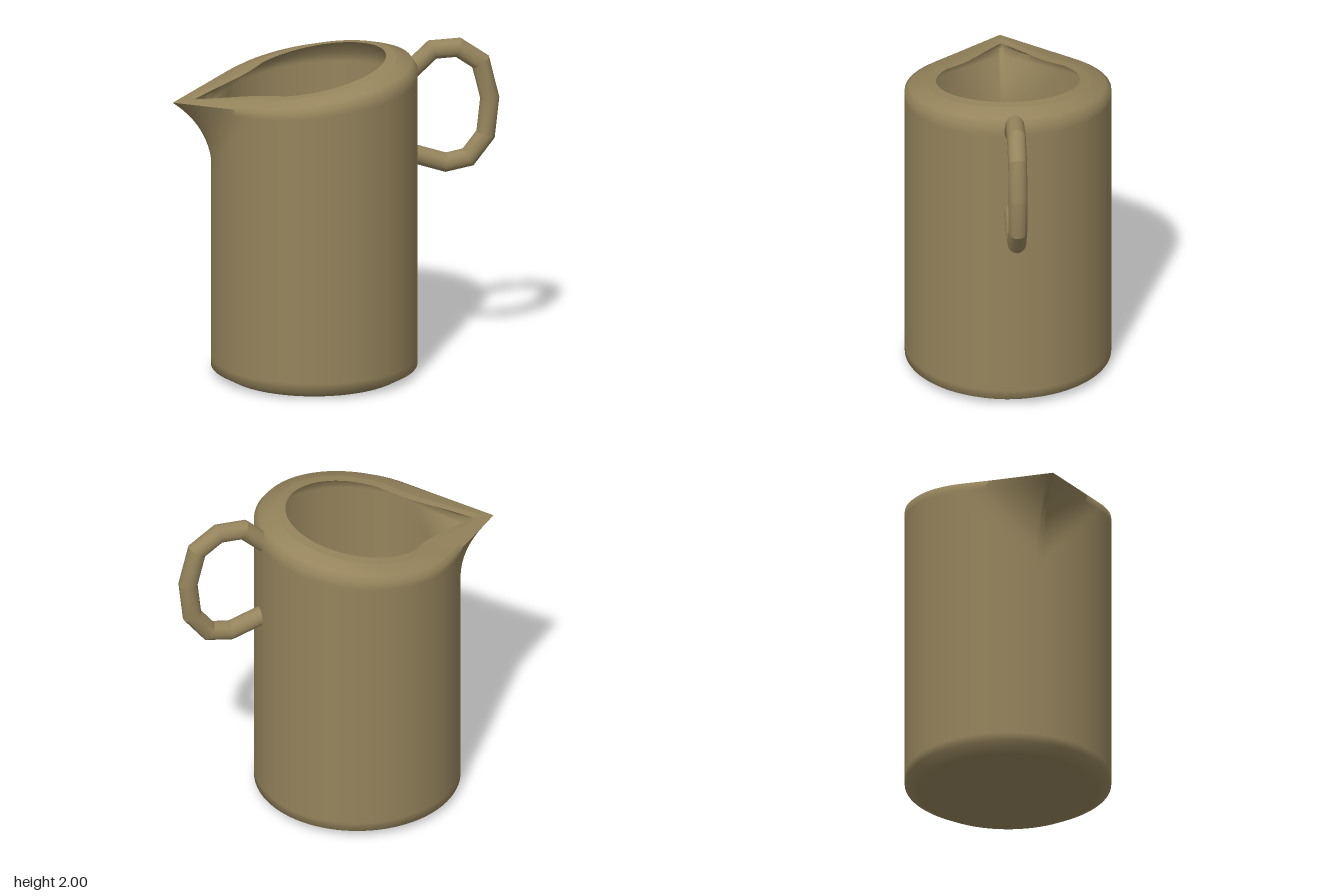
import * as THREE from 'three';
import { toCreasedNormals } from 'three/addons/utils/BufferGeometryUtils.js';

const CX = -0.13; // axis of the jug body
const SEG = 112;

// Skin a list of closed rings (counter-clockwise about the loft direction)
function loft(rings, creaseDegrees) {
  const n = rings[0].length, pos = [], idx = [];
  rings.forEach(r => r.forEach(p => pos.push(p.x, p.y, p.z)));
  for (let j = 0; j < rings.length - 1; j++) {
    for (let i = 0; i < n; i++) {
      const k = (i + 1) % n;
      const a = j * n + i, b = j * n + k, c = (j + 1) * n + k, d = (j + 1) * n + i;
      idx.push(a, b, c, a, c, d);
    }
  }
  const g = new THREE.BufferGeometry();
  g.setAttribute('position', new THREE.Float32BufferAttribute(pos, 3));
  g.setIndex(idx);
  return toCreasedNormals(g, THREE.MathUtils.degToRad(creaseDegrees));
}

// Teardrop outline: a circle drawn out to a point on -x; height is a rule of x
function teardrop(radius, tip, height, hollow = 0) {
  const alpha = tip > radius ? Math.acos(radius / tip) : 0;
  const ring = [];
  for (let i = 0; i < SEG; i++) {
    const u = (i / SEG) * 2 - 1; // samples crowd towards the spout
    const phi = Math.PI * Math.sign(u) * Math.abs(u) ** 1.4;
    const f = Math.abs(phi);
    let r = radius;
    if (f < alpha) r = radius / Math.cos(alpha - f) - hollow * Math.sin(Math.PI * f / alpha);
    const x = CX - r * Math.cos(phi);
    ring.push(new THREE.Vector3(x, height(x), r * Math.sin(phi)));
  }
  return ring;
}

const circle = (r, y) => teardrop(r, r, () => y);

// Slanted heights of the brim
const edgeY = x => 1.70 + 0.115 * (x + 0.98);
const shoulderY = x => 1.70 + 0.147 * (x + 0.98);
const crestY = x => 1.70 + 0.18 * (x + 0.98);
const lipY = x => 1.71 + 0.2 * (x + 0.87);

// Wall rings from the plain cylinder up to the flared spout
function spoutRings(radius, flare, drop) {
  const rings = [];
  for (let j = 0; j <= 12; j++) {
    const t = j / 12;
    rings.push(teardrop(radius, radius + flare * t ** 2.5,
      x => 1.2 + t * (edgeY(x) - drop - 1.2)));
  }
  return rings;
}

// Round tube with mitred corners along a flat polyline
function mitredTube(points, radius, sides) {
  const dirs = points.slice(1).map((p, i) => p.clone().sub(points[i]).normalize());
  const rings = points.map((p, i) => {
    const a = dirs[Math.max(i - 1, 0)], b = dirs[Math.min(i, dirs.length - 1)];
    const t = a.clone().add(b).normalize();
    const stretch = radius / t.dot(a);
    return Array.from({ length: sides }, (_, k) => {
      const w = (k / sides) * Math.PI * 2, c = Math.cos(w) * stretch;
      return new THREE.Vector3(p.x - t.y * c, p.y + t.x * c, Math.sin(w) * radius);
    });
  });
  return loft(rings, 20);
}

export function createModel() {
  const model = new THREE.Group();
  model.name = 'jug';
  const clay = new THREE.MeshStandardMaterial({ color: 0x95845c });
  clay.name = 'clay';
  const add = (name, geometry) => {
    const mesh = new THREE.Mesh(geometry, clay);
    mesh.name = name;
    model.add(mesh);
  };

  const crest = teardrop(0.485, 0.78, crestY, 0.025);
  const lip = teardrop(0.425, 0.72, lipY, 0.025);

  // Base, wall, spout and rounded shoulder
  add('outerBody', loft([
    circle(0, 0), circle(0.53, 0), circle(0.61, 0.045), circle(0.61, 0.1),
    ...spoutRings(0.61, 0.24, 0),
    teardrop(0.58, 0.835, shoulderY), crest,
  ], 75));

  // Narrow band round the opening
  add('rim', loft([crest, lip], 40));

  // Hollow, from the lip down to the floor
  add('innerBody', loft([
    lip, ...spoutRings(0.555, 0.165, 0.03).reverse(),
    circle(0.555, 0.1), circle(0.5, 0.06), circle(0, 0.06),
  ], 75));

  // Handle
  const path = [
    [0.45, 1.82], [0.58, 1.94], [0.735, 1.945], [0.87, 1.85], [0.925, 1.625],
    [0.9, 1.4], [0.795, 1.265], [0.66, 1.24], [0.45, 1.31],
  ].map(([x, y]) => new THREE.Vector3(x, y, 0));
  add('handle', mitredTube(path, 0.056, 24));

  return model;
}
